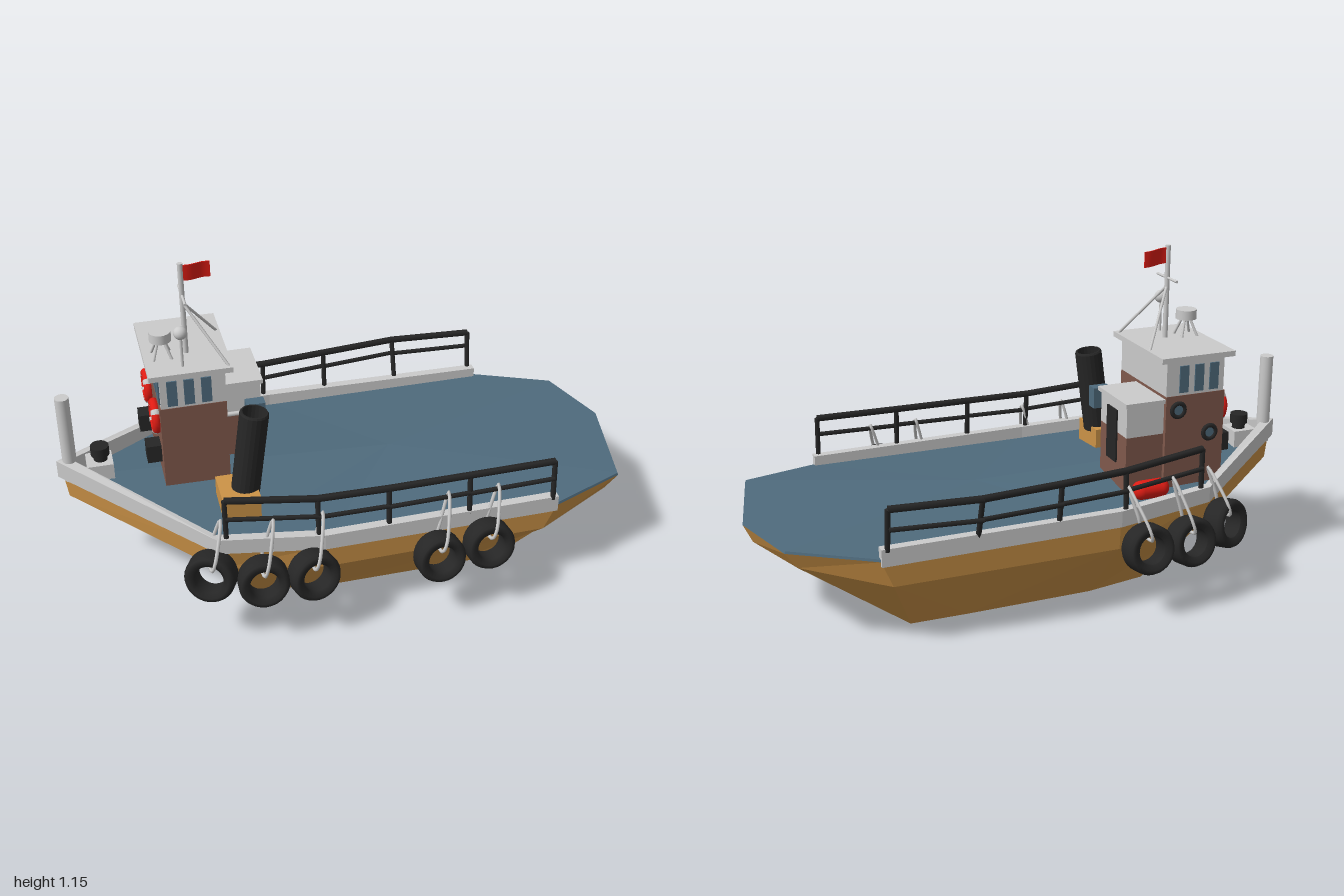
import * as THREE from 'three';

const V = (x, y, z) => new THREE.Vector3(x, y, z);
const mat = (color, extra = {}) => new THREE.MeshStandardMaterial({ color, ...extra });
const grey = mat(0xcccccc), brown = mat(0x80594c), black = mat(0x262626), blue = mat(0x4f6b7d);
const red = mat(0xe01c14), orange = mat(0xcc9347), white = mat(0xeeeeee), yellow = mat(0xe0c820);
const hullMat = mat(0xcc9347, { flatShading: true });
const deckMat = mat(0x4f6b7d, { flatShading: true });
const greyFlat = mat(0xcccccc, { flatShading: true });

// Skin a stack of equal loops and cap both ends; crown lifts the end cap's centre
function loft(loops, crown = 0) {
  const pos = [];
  const tri = (...pts) => pts.forEach(p => pos.push(p.x, p.y, p.z));
  const n = loops[0].length;
  for (let k = 0; k + 1 < loops.length; k++) {
    const b = loops[k], a = loops[k + 1];
    for (let i = 0; i < n; i++) {
      const j = (i + 1) % n;
      tri(b[i], b[j], a[j]);
      tri(b[i], a[j], a[i]);
    }
  }
  const cap = (loop, flip, lift) => {
    const c = loop.reduce((s, p) => s.add(p), V(0, 0, 0)).divideScalar(n);
    c.y += lift;
    loop.forEach((p, i) => {
      const q = loop[(i + 1) % n];
      flip ? tri(c, q, p) : tri(c, p, q);
    });
  };
  cap(loops[0], true, 0);
  cap(loops.at(-1), false, crown);
  const g = new THREE.BufferGeometry();
  g.setAttribute('position', new THREE.Float32BufferAttribute(pos, 3));
  g.computeVertexNormals();
  return g;
}

// Half stations [x, y, half width, centre z] from bow to stern, mirrored into a full loop
function ring(rows) {
  const side = s => rows.map(([x, y, h, c = 0]) => V(x, y, c + s * h));
  return [...side(1), ...side(-1).slice(1, -1).reverse()];
}

export function createModel() {
  const model = new THREE.Group();
  const add = (name, geo, m, x = 0, y = 0, z = 0, parent = model) => {
    const mesh = new THREE.Mesh(geo, m);
    mesh.name = name;
    mesh.position.set(x, y, z);
    parent.add(mesh);
    return mesh;
  };
  // Box given by its extents
  const box = (name, m, x0, x1, y0, y1, z0, z1) =>
    add(name, new THREE.BoxGeometry(x1 - x0, y1 - y0, z1 - z0), m, (x0 + x1) / 2, (y0 + y1) / 2, (z0 + z1) / 2);
  // Rod between two points
  const rod = (name, m, a, b, r, sides = 8) => {
    const d = b.clone().sub(a);
    const mesh = add(name, new THREE.CylinderGeometry(r, r, d.length(), sides), m);
    mesh.position.copy(a).addScaledVector(d, 0.5);
    mesh.quaternion.setFromUnitVectors(V(0, 1, 0), d.normalize());
    return mesh;
  };

  // Hull and deck
  const bottom = ring([[-.57, .045, 0, -.03], [-.37, 0, .24], [-.15, 0, .275], [.3, 0, .275], [.5, 0, .27], [.5, 0, 0]]);
  const knuckle = ring([[-.97, .31, 0, -.06], [-.53, .25, .39], [-.18, .23, .445], [.6, .23, .435], [.87, .28, .31, .02], [.96, .275, 0, -.03]]);
  const sheer = ring([[-.98, .385, 0, -.06], [-.53, .335, .405], [-.18, .318, .45], [.64, .325, .44], [.91, .338, .32, .025], [.99, .34, 0, -.03]]);
  add('hull', loft([bottom, knuckle, sheer]), hullMat);
  const deckTop = sheer.map(p => V(p.x * .997, p.y + .008, p.z * .995));
  add('deck', loft([sheer, deckTop], .022), deckMat);

  // Bulwark, from port quarter round the bow to starboard quarter
  const wall = [[.64, .45, .31, .37], [-.18, .46, .315, .372], [-.53, .42, .335, .39]];
  const section = s => ([x, z, y0, y1]) => {
    const zi = s * (z - .032), zo = s * z;
    const inner = [V(x, y0, zi), V(x, y1, zi)], outer = [V(x, y0, zo), V(x, y1, zo)];
    const [l, r] = s < 0 ? [outer, inner] : [inner, outer];
    return s < 0 ? [l[0], r[0], r[1], l[1]] : [r[0], l[0], l[1], r[1]];
  };
  const prow = [V(-1, .395, -.06), V(-.95, .395, -.06), V(-.95, .46, -.06), V(-1, .46, -.06)];
  add('bulwark', loft([...wall.map(section(-1)), prow, ...wall.map(section(1)).reverse()]), greyFlat);

  // Railings: posts with a top and a middle rail
  const railings = {
    starboard: [[-.5, .53, .40], [-.2, .505, .43], [.04, .505, .435], [.32, .507, .435], [.62, .51, .435]],
    port: [[-.5, .53, -.41], [-.2, .505, -.44], [.04, .505, -.465], [.32, .507, -.49], [.62, .51, -.465]],
  };
  for (const [side, pts] of Object.entries(railings)) {
    const s = side === 'port' ? -1 : 1;
    pts.forEach(([x, y, z], i) => {
      const top = V(x, y, z), foot = V(x, .36, s * (x < -.4 ? .41 : .445));
      rod(side + 'RailPost', black, foot, top, .009, 6);
      if (!i) return;
      const p = V(...pts[i - 1]);
      rod(side + 'TopRail', black, p, top, .012, 6);
      rod(side + 'MiddleRail', black, V(p.x, p.y - .068, p.z + s * .01), V(x, y - .065, z + s * .01), .008, 6);
    });
  }

  // Tyre fenders [x, y, z, yaw] hung on ropes
  const profile = [[.049, -.03], [.066, -.042], [.079, -.038], [.085, -.025], [.085, .025], [.079, .038], [.066, .042], [.049, .03], [.049, -.03]];
  const tyreGeo = new THREE.LatheGeometry(profile.map(p => new THREE.Vector2(...p)), 28).rotateX(Math.PI / 2);
  const tyres = [
    [-.56, .265, .435, -.42], [-.395, .24, .475, -.05], [-.23, .25, .495, .2], [.2, .245, .505, .06], [.375, .262, .5, .03],
    [-.575, .265, -.455, .45], [-.42, .24, -.495, .15], [-.25, .25, -.515, .06],
  ];
  for (const [x, y, z, yaw] of tyres) {
    const s = Math.sign(z);
    add('tyreFender', tyreGeo, black, x, y, z).rotation.set(-s * .15, yaw, 0, 'YXZ');
    const rope = new THREE.CatmullRomCurve3([
      V(x + .045, .455, s * (x < -.5 ? .40 : .44)), V(x + .012, y + .08, z + s * .035),
      V(x, y + .04, z + s * .03), V(x, y + .04, z - s * .045), V(x + .012, y + .09, z - s * .05),
    ], true);
    add('fenderRope', new THREE.TubeGeometry(rope, 28, .006, 6, true), grey);
  }

  // Wheelhouse
  box('cabinBase', brown, -.645, -.42, .33, .685, -.29, .06);
  box('wheelhouse', grey, -.64, -.42, .685, .81, -.288, .058);
  box('wheelhouseRoof', grey, -.675, -.395, .806, .825, -.3, .08);
  for (const x of [-.6, -.543, -.485])
    for (const z of [.058, -.288]) box('sideWindow', blue, x - .017, x + .017, .695, .79, z - .005, z + .005);
  for (let i = 0; i < 4; i++) box('forwardWindow', blue, -.645, -.635, .695, .79, -.27 + i * .083, -.205 + i * .083);
  for (const [x, y] of [[-.59, .54], [-.465, .635]]) {
    add('portholeRim', new THREE.TorusGeometry(.024, .008, 8, 20), black, x, y, -.294);
    add('portholeGlass', new THREE.CylinderGeometry(.024, .024, .012, 20).rotateX(Math.PI / 2), blue, x, y, -.29);
  }

  // Forward face: life rings, vent boxes and a lamp
  for (const z of [-.22, -.02]) {
    add('lifeRing', new THREE.TorusGeometry(.047, .016, 10, 28).rotateY(Math.PI / 2), red, -.655, .615, z);
    for (let i = 0; i < 4; i++)
      add('lifeRingBand', new THREE.TorusGeometry(.047, .0175, 10, 4, .3).rotateZ(i * Math.PI / 2 + .65).rotateY(Math.PI / 2), white, -.655, .615, z);
    box('ventBox', black, -.695, -.64, .445, .51, z - .03, z + .03);
  }
  add('lamp', new THREE.CylinderGeometry(.016, .016, .02, 16).rotateZ(Math.PI / 2), yellow, -.65, .585, -.12);

  // Aft companionway with door
  box('companionway', brown, -.43, -.28, .33, .55, -.275, -.072);
  box('companionwayTop', grey, -.43, -.28, .55, .662, -.275, -.072);
  box('companionwayRoof', grey, -.43, -.272, .66, .675, -.285, -.06);
  box('door', black, -.29, -.274, .44, .63, -.205, -.13);
  box('wallCabinet', blue, -.35, -.285, .57, .645, 0, .042);
  rod('cabinetBracket', grey, V(-.43, .605, .02), V(-.34, .605, .02), .008);

  // Mast, yard, stays and flag
  const mx = -.53, mz = -.058;
  rod('mast', grey, V(mx, .82, mz), V(mx, 1.155, mz), .009, 12);
  rod('yard', grey, V(mx, 1.04, -.13), V(mx, 1.04, .013), .005);
  for (const z of [.065, -.185]) rod('stay', grey, V(mx, 1.012, mz), V(-.405, .82, z), .005);
  const flag = new THREE.BoxGeometry(.095, .055, .004, 8, 1, 1).translate(.0475, 0, 0);
  const fp = flag.attributes.position;
  for (let i = 0; i < fp.count; i++) {
    const x = fp.getX(i);
    fp.setZ(i, fp.getZ(i) - x * .2 + Math.sin(x * 66) * .004);
    fp.setY(i, fp.getY(i) - x * .06);
  }
  flag.computeVertexNormals();
  add('flag', flag, red, mx + .005, 1.12, mz);

  // Roof instruments
  rod('aerialPole', grey, V(-.555, .82, .03), V(-.555, .94, .03), .005);
  add('aerialBall', new THREE.SphereGeometry(.023, 18, 12), grey, -.555, .95, .03);
  add('radar', new THREE.CylinderGeometry(.037, .037, .034, 20), grey, -.613, .902, -.055);
  for (let i = 0; i < 4; i++) {
    const c = Math.cos(i * Math.PI / 2 + .785), s = Math.sin(i * Math.PI / 2 + .785);
    rod('radarLeg', grey, V(-.613 + c * .012, .89, -.055 + s * .012), V(-.613 + c * .045, .82, -.055 + s * .045), .005);
  }

  // Funnel on its casing
  box('funnelCasing', orange, -.485, -.357, .33, .435, .13, .28);
  const funnel = new THREE.Group();
  funnel.name = 'funnel';
  funnel.position.set(-.395, .42, .205);
  funnel.rotation.z = -.135;
  model.add(funnel);
  const pipe = [[.049, 0], [.049, .3], [.045, .306], [.04, .306], [.04, .25], [0, .25]];
  add('funnelPipe', new THREE.LatheGeometry(pipe.map(p => new THREE.Vector2(...p)), 20), mat(0x262626, { flatShading: true }), 0, 0, 0, funnel);

  // Foredeck: bow post, bollard and stowed float
  rod('bowPost', grey, V(-.955, .38, -.06), V(-.955, .71, -.06), .024, 16);
  box('bollardBase', grey, -.9, -.81, .34, .445, -.103, -.015);
  rod('bollardNeck', black, V(-.85, .44, -.06), V(-.85, .47, -.06), .024, 16);
  rod('bollardHead', black, V(-.85, .465, -.06), V(-.85, .5, -.06), .032, 16);
  add('float', new THREE.CapsuleGeometry(.033, .07, 8, 18).rotateZ(Math.PI / 2), red, -.34, .385, -.347);

  return model;
}
